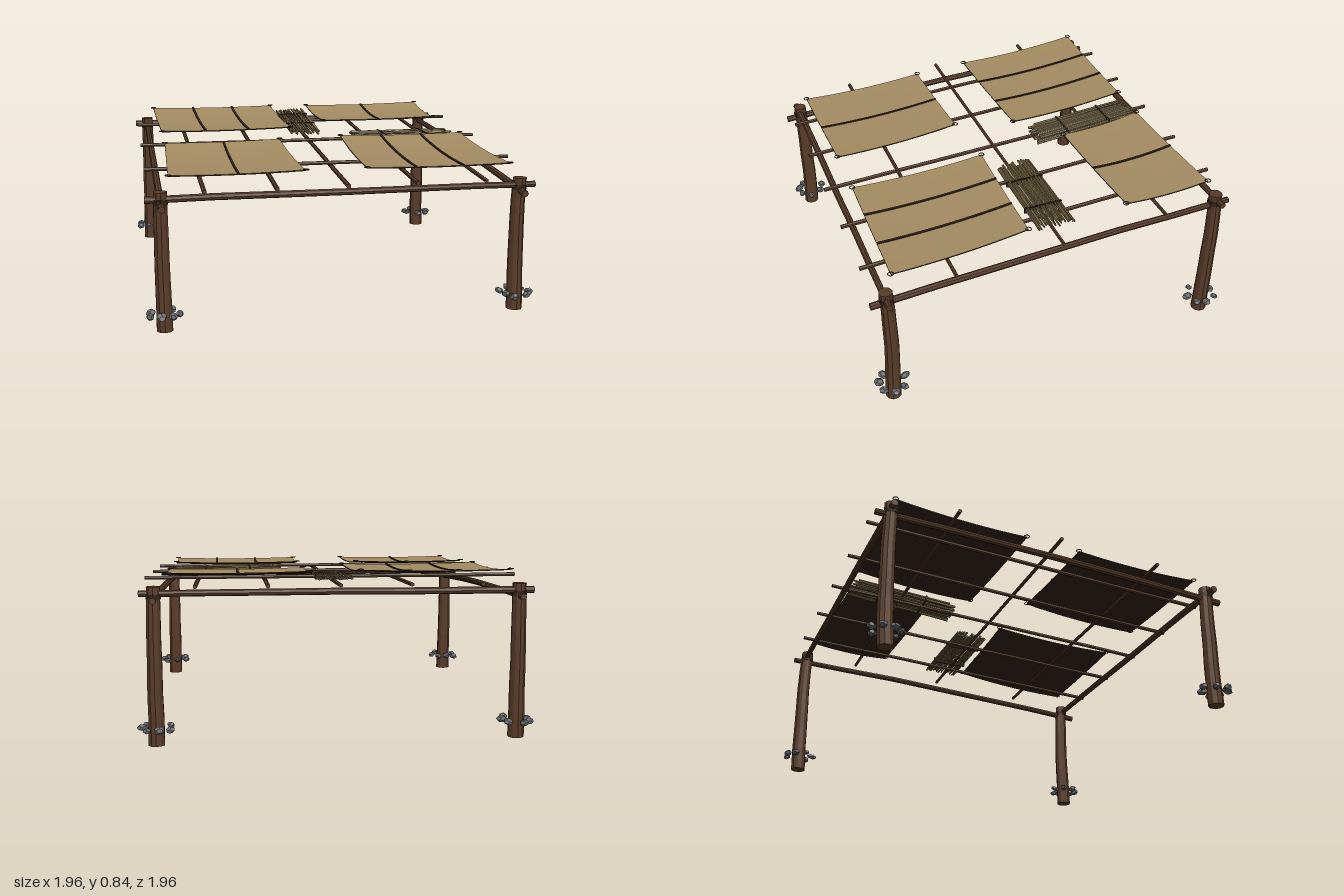
import * as THREE from 'three';

const mat = (name, color, extra = {}) => {
  const m = new THREE.MeshStandardMaterial({ color, flatShading: true, ...extra });
  m.name = name;
  return m;
};

// small seeded random generator
let seed = 7;
const rnd = () => {
  seed = (seed * 16807) % 2147483647;
  return seed / 2147483647;
};
const jit = (a) => (rnd() - 0.5) * 2 * a;

export function createModel() {
  const wood = mat('bark brown', 0x583c28);
  const canvas = mat('tan cloth', 0xa48c62);
  const dark = mat('dark cord', 0x33241a);
  const reed = mat('dry reed', 0x85734c);
  const stone = mat('grey stone', 0x6a6c70);

  const model = new THREE.Group();
  const group = (name) => {
    const g = new THREE.Group();
    g.name = name;
    model.add(g);
    return g;
  };
  const add = (parent, name, geo, material) => {
    const m = new THREE.Mesh(geo, material);
    m.name = name;
    parent.add(m);
    return m;
  };

  // slightly crooked round timber from a to b, bowed upwards or sideways in the middle
  const pole = (parent, name, a, b, r0, r1, { bow = [0, 0, 0], wobble = 0, sides = 8, rows = 6, material = wood } = {}) => {
    const A = new THREE.Vector3(...a), B = new THREE.Vector3(...b);
    const dir = B.clone().sub(A), len = dir.length();
    const geo = new THREE.CylinderGeometry(r1, r0, len, sides, rows);
    const q = new THREE.Quaternion().setFromUnitVectors(new THREE.Vector3(0, 1, 0), dir.normalize());
    const shifts = Array.from({ length: rows + 1 }, () => [jit(wobble), jit(wobble)]);
    const p = geo.attributes.position, v = new THREE.Vector3(), mid = A.clone().lerp(B, 0.5);
    const bend = new THREE.Vector3(...bow);
    for (let i = 0; i < p.count; i++) {
      v.fromBufferAttribute(p, i);
      const t = v.y / len + 0.5;
      const s = shifts[Math.round(t * rows)];
      v.x += s[0];
      v.z += s[1];
      v.applyQuaternion(q).add(mid).addScaledVector(bend, 4 * t * (1 - t));
      p.setXYZ(i, v.x, v.y, v.z);
    }
    geo.computeVertexNormals();
    return add(parent, name, geo, material);
  };

  // corner posts with lashings and a ring of stones at the foot
  const posts = group('posts');
  const stones = group('footStones');
  for (const sx of [-1, 1]) for (const sz of [-1, 1]) {
    const x = sx * 0.89, z = sz * 0.885, top = sz > 0 ? 0.685 : 0.775;
    pole(posts, 'cornerPost', [x, 0, z], [x, top, z], 0.041, 0.034, { bow: [0, 0, -0.008], wobble: 0.002, sides: 10 });
    const joint = sz > 0 ? 0.638 : 0.727;
    pole(posts, 'postLashing', [x, joint - 0.012, z], [x, joint + 0.012, z], 0.037, 0.037, { sides: 10, rows: 1, material: dark });
    for (let i = 0; i < 7; i++) {
      const a = (i / 7) * Math.PI * 2 + jit(0.15), r = 0.072 + jit(0.006);
      const rock = add(stones, 'stone', new THREE.DodecahedronGeometry(0.024, 0), stone);
      rock.position.set(x + Math.cos(a) * r, 0.086 + jit(0.006), z + Math.sin(a) * r);
      rock.rotation.set(jit(0.4), -a + jit(0.4), jit(0.4));
      rock.scale.set(1 + jit(0.25), 0.7 + jit(0.15), 0.9 + jit(0.2));
    }
  }

  // main beams
  const beams = group('beams');
  pole(beams, 'frontBeam', [-0.965, 0.651, 0.89], [0.97, 0.651, 0.89], 0.018, 0.016, { wobble: 0.002 });
  pole(beams, 'backBeam', [-0.96, 0.742, -0.89], [0.96, 0.742, -0.89], 0.018, 0.016, { wobble: 0.002 });
  for (const x of [-0.89, 0.89])
    pole(beams, 'sideBeam', [x, 0.616, 0.965], [x, 0.715, -0.965], 0.018, 0.016, { bow: [0, 0.012, 0], wobble: 0.0015 });

  // rafters, and purlins laid on them
  const rafterY = (z) => 0.735 - 0.047 * z;
  const roof = group('roofPoles');
  for (const x of [-0.69, -0.345, 0, 0.345, 0.69])
    pole(roof, 'rafter', [x, rafterY(0.955), 0.955], [x, rafterY(-0.955), -0.955], 0.0115, 0.0105, { sides: 6, wobble: 0.001 });
  for (const z of [-0.555, 0, 0.555])
    pole(roof, 'purlin', [-0.955, rafterY(z) + 0.02, z], [0.955, rafterY(z) + 0.02, z], 0.0105, 0.0095, { sides: 6, wobble: 0.001 });

  // sagging cloth sheets; corners run back left, back right, front right, front left as [x, z]
  const sheets = [
    { c: [[-0.85, -0.855], [-0.11, -0.835], [-0.09, -0.165], [-0.83, -0.14]], y: [0.838, 0.803], seams: [0.335, 0.665] },
    { c: [[0.12, -0.83], [0.85, -0.855], [0.835, -0.395], [0.14, -0.37]], y: [0.835, 0.806], seams: [0.5] },
    { c: [[-0.83, 0.16], [-0.205, 0.14], [-0.185, 0.83], [-0.85, 0.845]], y: [0.788, 0.75], seams: [0.505] },
    { c: [[0.14, 0.115], [0.83, 0.135], [0.855, 0.845], [0.12, 0.83]], y: [0.792, 0.75], seams: [0.335, 0.665] },
  ];
  const mix = THREE.MathUtils.lerp;
  sheets.forEach(({ c, y, seams }) => {
    const g = group('clothSheet');
    const at = (u, v, h) => new THREE.Vector3(
      mix(mix(c[0][0], c[1][0], u), mix(c[3][0], c[2][0], u), v),
      mix(y[0], y[1], v) - 0.014 * 4 * v * (1 - v) - 0.006 * 4 * u * (1 - u) + h,
      mix(mix(c[0][1], c[1][1], u), mix(c[3][1], c[2][1], u), v));
    // lay a slab between u0 and u1 onto the sagging surface
    const slab = (name, u0, u1, thick, lift, nu, material) => {
      const geo = new THREE.BoxGeometry(1, thick, 1, nu, 1, 10);
      const p = geo.attributes.position;
      for (let i = 0; i < p.count; i++) {
        const q = at(mix(u0, u1, p.getX(i) + 0.5), p.getZ(i) + 0.5, p.getY(i) + lift);
        p.setXYZ(i, q.x, q.y, q.z);
      }
      geo.computeVertexNormals();
      add(g, name, geo, material);
    };
    slab('cloth', 0, 1, 0.006, 0, 8, [dark, dark, canvas, dark, dark, dark]);
    for (const s of seams) slab('seam', s - 0.0085, s + 0.0085, 0.009, 0.004, 1, dark);
    for (const [u, v] of [[0, 0], [1, 0], [1, 1], [0, 1]]) {
      const ring = add(g, 'cornerRing', new THREE.TorusGeometry(0.014, 0.0025, 5, 14), dark);
      ring.rotation.x = Math.PI / 2;
      ring.position.copy(at(u, v, 0.004));
    }
  });

  // reed mats: two uneven layers of thin sticks tied with cords
  const mat2 = (name, length, width, bands) => {
    const g = group(name);
    for (let layer = 0; layer < 2; layer++) {
      const n = 15;
      for (let i = 0; i < n; i++) {
        const z = ((i + 0.5) / n - 0.5) * width + jit(0.004);
        const h = (layer - 0.5) * 0.013 + jit(0.003);
        const a = -length / 2 + rnd() * 0.05, b = length / 2 - rnd() * 0.05;
        pole(g, 'reed', [a, h + jit(0.003), z + jit(0.005)], [b, h + jit(0.003), z + jit(0.005)],
          0.0065, 0.005, { sides: 5, rows: 2, wobble: 0.001, material: reed });
      }
    }
    for (const x of bands) {
      const cord = add(g, 'matCord', new THREE.BoxGeometry(0.009, 0.03, width + 0.004), dark);
      cord.position.x = x;
    }
    return g;
  };
  const sideMat = mat2('sideReedMat', 0.59, 0.2, [-0.12, 0.12]);
  sideMat.position.set(0.535, 0.768, -0.02);
  const backMat = mat2('backReedMat', 0.62, 0.175, [-0.12, 0.13]);
  backMat.position.set(0.01, 0.782, -0.545);
  backMat.rotation.set(0, Math.PI / 2, 0.075);
  backMat.rotation.order = 'YXZ';

  return model;
}
